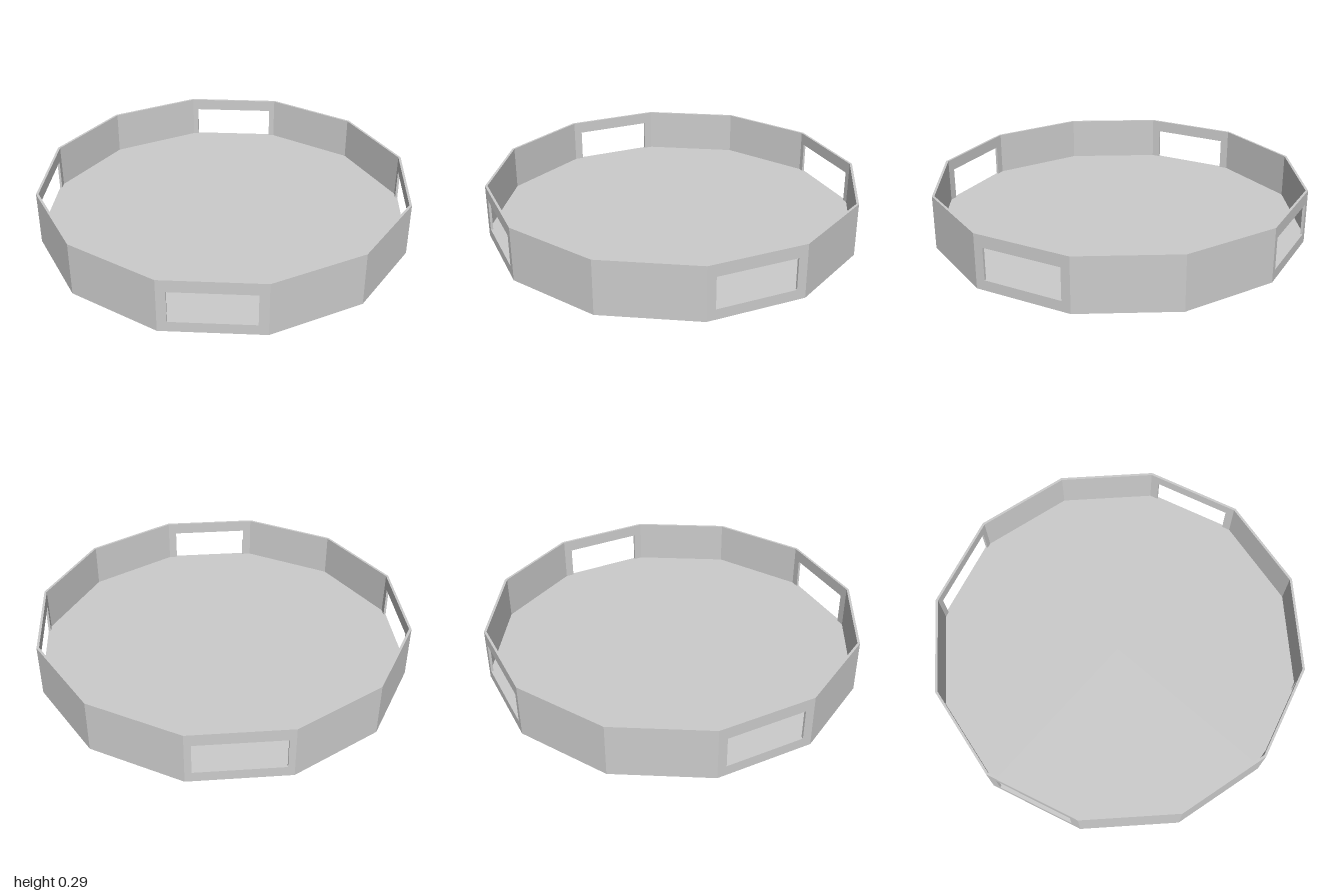
import * as THREE from 'three';

const SIDES = 12, HEIGHT = 0.29, FLOOR = 0.055, INNER = 0.987;
const STEP = (Math.PI * 2) / SIDES;
const APOTHEM = Math.cos(STEP / 2);
const HALF = Math.sin(STEP / 2);
const THICK = APOTHEM * (1 - INNER);

function rect(Type, halfWidth, y0, y1) {
  const s = new Type();
  s.moveTo(-halfWidth, y0);
  s.lineTo(halfWidth, y0);
  s.lineTo(halfWidth, y1);
  s.lineTo(-halfWidth, y1);
  s.closePath();
  return s;
}

// One wall panel facing +z, mitred at both ends, with an optional handle opening
function wallGeometry(openingHalf) {
  const shape = rect(THREE.Shape, HALF, 0, HEIGHT);
  if (openingHalf) shape.holes.push(rect(THREE.Path, openingHalf, FLOOR, 0.225));
  const g = new THREE.ExtrudeGeometry(shape, { depth: THICK, bevelEnabled: false });
  const p = g.attributes.position;
  for (let i = 0; i < p.count; i++) {
    const atEnd = Math.abs(p.getX(i)) > HALF - 1e-4;
    if (atEnd && p.getZ(i) < THICK / 2) p.setX(i, p.getX(i) * INNER);
  }
  g.translate(0, 0, APOTHEM - THICK);
  g.computeVertexNormals();
  return g;
}

export function createModel() {
  const model = new THREE.Group();
  model.name = 'tray';
  const material = new THREE.MeshStandardMaterial({ color: 0xcccccc, flatShading: true });

  // Floor slab, level with the lower edge of the openings
  const floor = new THREE.Mesh(new THREE.CylinderGeometry(INNER, INNER, FLOOR, SIDES), material);
  floor.position.y = FLOOR / 2;
  floor.name = 'floor';
  model.add(floor);

  // Ring of walls, every third one a handle; the back left opening is a little wider
  const walls = new THREE.Group();
  walls.name = 'walls';
  for (let i = 0; i < SIDES; i++) {
    const isHandle = i % 3 === 1;
    const opening = isHandle ? (i === 7 ? 0.225 : 0.211) : 0;
    const wall = new THREE.Mesh(wallGeometry(opening), material);
    wall.rotation.y = (i + 0.5) * STEP;
    wall.name = isHandle ? 'handleWall' : 'plainWall';
    walls.add(wall);
  }
  model.add(walls);
  return model;
}
